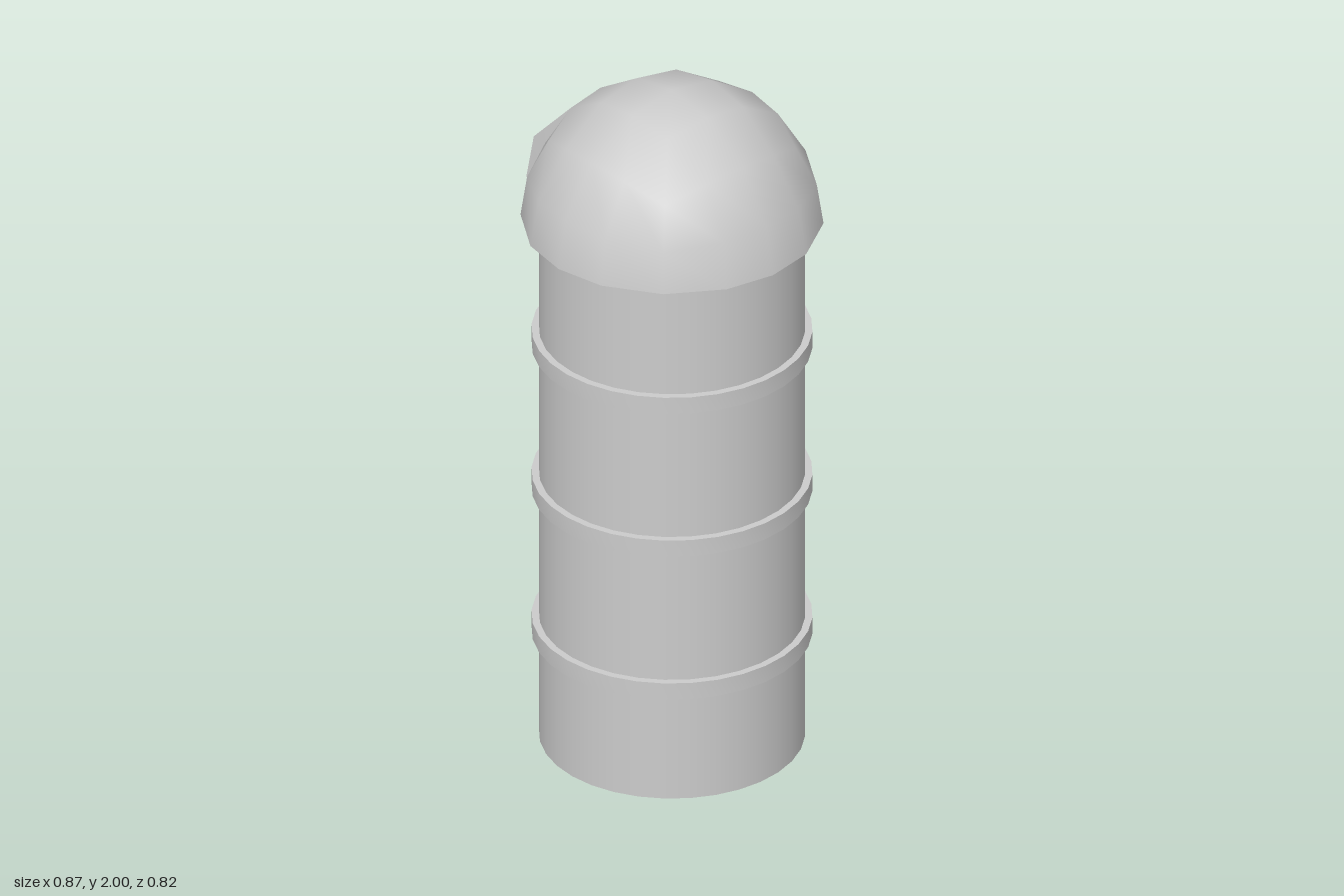
import * as THREE from 'three';
import { toCreasedNormals } from 'three/addons/utils/BufferGeometryUtils.js';

const AXIS = 0.023, BODY_R = 0.36, DOME_R = 0.41, RIM_Y = 1.6, HOOD = 0.047;

// Position of a grid line (-2..2) on a face of a cube that is rounded to a sphere
const line = (i, other) => {
  const a = Math.abs(i);
  return Math.sign(i) * (a === 2 ? 1 : a === 1 ? (Math.abs(other) === 2 ? 0.43 : 0.374) : 0);
};

const onDome = (x, y, z, r) =>
  new THREE.Vector3(x, y, z).normalize().multiply(new THREE.Vector3(r, r * 0.98, r));

// Vertex of side face k (0 = +x, 2 = -x); the hood vertices move outward
function sidePoint(k, i, j, r, hood) {
  const p = onDome(1, line(j, i), line(i, j), r);
  p.applyAxisAngle(new THREE.Vector3(0, 1, 0), k * Math.PI / 2);
  if (hood && j < 2) p.x -= HOOD;
  return p;
}

function domeGeometry() {
  const pos = [];
  // Adds a triangle that faces along "out"
  const tri = (a, b, c, out) => {
    const n = b.clone().sub(a).cross(c.clone().sub(a));
    if (n.lengthSq() < 1e-14) return;
    const order = n.dot(out) < 0 ? [a, c, b] : [a, b, c];
    order.forEach(p => pos.push(p.x, p.y, p.z));
  };
  const quad = (a, b, c, d, out) => { tri(a, b, c, out); tri(a, c, d, out); };

  // Outer and inner skins
  for (const [r, sign] of [[DOME_R, 1], [DOME_R - 0.025, -1]]) {
    const cell = (f) => {
      const q = [f(0, 0), f(1, 0), f(1, 1), f(0, 1)];
      quad(...q, q[0].clone().add(q[2]).multiplyScalar(sign));
    };
    for (let i = -2; i < 2; i++) {
      for (let j = -2; j < 2; j++) {
        cell((a, b) => onDome(line(i + a, j + b), 1, line(j + b, i + a), r));
      }
      for (let k = 0; k < 4; k++) {
        const hood = k === 2 && (i === -1 || i === 0);
        for (let j = 0; j < 2; j++) cell((a, b) => sidePoint(k, i + a, j + b, r, hood));
      }
    }
    // Cheeks of the hood
    for (const i of [-1, 1]) for (let j = 0; j < 2; j++) {
      const p = (jj, hood) => sidePoint(2, i, jj, r, hood);
      const out = new THREE.Vector3(0, 0, sign * Math.sign(p(0, true).z));
      quad(p(j, false), p(j, true), p(j + 1, true), p(j + 1, false), out);
    }
  }

  // Rim joining the two skins
  const rim = r => {
    const pts = [];
    for (let k = 0; k < 4; k++) for (let i = 2; i >= -2; i--) {
      const edge = k === 2 && Math.abs(i) === 1;
      if (edge && i === 1) pts.push(sidePoint(k, i, 0, r, false));
      pts.push(sidePoint(k, i, 0, r, k === 2 && Math.abs(i) < 2));
      if (edge && i === -1) pts.push(sidePoint(k, i, 0, r, false));
    }
    return pts;
  };
  const outer = rim(DOME_R), inner = rim(DOME_R - 0.025);
  const down = new THREE.Vector3(0, -1, 0);
  outer.forEach((p, n) => {
    const m = (n + 1) % outer.length;
    quad(p, outer[m], inner[m], inner[n], down);
  });

  const geo = new THREE.BufferGeometry();
  geo.setAttribute('position', new THREE.Float32BufferAttribute(pos, 3));
  return toCreasedNormals(geo, 0.7);
}

export function createModel() {
  const group = new THREE.Group();
  const grey = new THREE.MeshStandardMaterial({ color: 0xcccccc });
  const greyOpen = new THREE.MeshStandardMaterial({ color: 0xcccccc, side: THREE.DoubleSide });
  const add = (name, geo, x, y, material = grey) => {
    const mesh = new THREE.Mesh(geo, material);
    mesh.name = name;
    mesh.position.set(x, y, 0);
    group.add(mesh);
  };

  // Open-ended tower wall
  add('towerWall', new THREE.CylinderGeometry(BODY_R, BODY_R, RIM_Y, 32, 1, true),
    AXIS, RIM_Y / 2, greyOpen);

  // Three square-edged hoops
  const profile = [[BODY_R - 0.01, -0.025], [0.38, -0.025], [0.38, 0.025], [BODY_R - 0.01, 0.025]]
    .map(([x, y]) => new THREE.Vector2(x, y));
  for (const y of [0.345, 0.79, 1.235]) {
    add('hoop', toCreasedNormals(new THREE.LatheGeometry(profile, 32), 0.7), AXIS, y);
  }

  // Domed roof with a hood over the pipe
  add('domeRoof', domeGeometry(), AXIS, RIM_Y, greyOpen);

  // Filling pipe beside the wall
  add('fillPipe', new THREE.CylinderGeometry(0.019, 0.019, 1.62, 12), -0.388, 0.81);

  return group;
}
